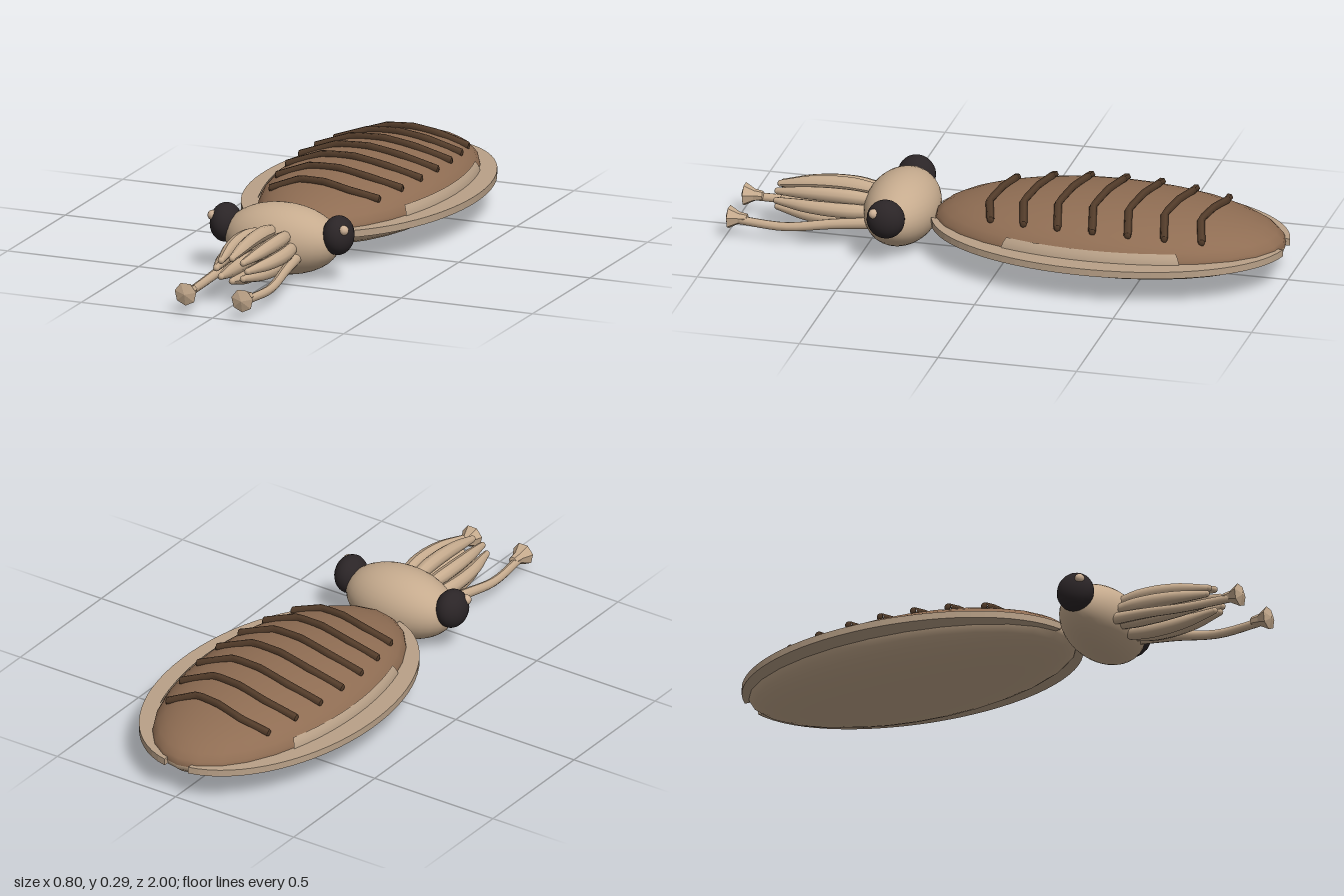
import * as THREE from 'three';

const mat = (name, color) => {
  const m = new THREE.MeshStandardMaterial({ color });
  m.name = name;
  return m;
};

// Smooth tapered limb: rings swept along a curve, pointed shut at both ends
function taperedLimb(points, radii, steps = 14, sides = 10) {
  const curve = new THREE.CatmullRomCurve3(points.map(p => new THREE.Vector3(...p)));
  const geo = new THREE.TubeGeometry(curve, steps, 1, sides, false);
  const pos = geo.attributes.position;
  const v = new THREE.Vector3();
  for (let i = 0; i <= steps; i++) {
    const c = curve.getPointAt(i / steps);
    const t = (i / steps) * (radii.length - 1);
    const k = Math.min(Math.floor(t), radii.length - 2);
    const r = THREE.MathUtils.lerp(radii[k], radii[k + 1], t - k);
    for (let j = 0; j <= sides; j++) {
      const n = i * (sides + 1) + j;
      v.fromBufferAttribute(pos, n).sub(c).multiplyScalar(r).add(c);
      pos.setXYZ(n, v.x, v.y, v.z);
    }
  }
  geo.computeVertexNormals();
  return geo;
}

export function createModel() {
  const group = new THREE.Group();
  const brown = mat('mantle brown', 0x8f6d53);
  const tan = mat('skin tan', 0xc6ab8e);
  const finTan = mat('fin tan', 0xb9a188);
  const dark = mat('stripe brown', 0x533c2a);
  const black = mat('eye black', 0x2b2527);
  const bright = mat('eye glint', 0xcdb196);
  finTan.side = THREE.DoubleSide;

  const add = (name, geo, material, pos = [0, 0, 0], scale = [1, 1, 1]) => {
    const m = new THREE.Mesh(geo, material);
    m.name = name;
    m.position.set(...pos);
    m.scale.set(...scale);
    group.add(m);
    return m;
  };

  // Mantle: brown upper shell and tan belly
  const C = [0, 0.125, -0.36], RX = 0.325, RY = 0.142, RZ = 0.63;
  add('mantle', new THREE.SphereGeometry(1, 28, 10, 0, Math.PI * 2, 0, Math.PI / 2), brown, C, [RX, RY, RZ]);
  add('belly', new THREE.SphereGeometry(1, 28, 10, 0, Math.PI * 2, Math.PI / 2, Math.PI / 2), tan, C, [RX, 0.123, RZ]);

  for (const side of [1, -1]) {
    const label = side > 0 ? 'left' : 'right';

    // Side fin: flat crescent, open at the tail
    const shape = new THREE.Shape();
    const arc = (rx, rz, a0, a1) => {
      for (let i = 0; i <= 32; i++) {
        const a = a0 + (a1 - a0) * i / 32;
        const x = side * rx * Math.sin(a), y = -rz * Math.cos(a);
        if (shape.curves.length === 0 && i === 0 && rx === 0.4) shape.moveTo(x, y);
        else shape.lineTo(x, y);
      }
    };
    arc(0.4, 0.64, 0.2, Math.PI - 0.125);
    arc(0.29, 0.6, Math.PI - 0.173, 0.25);
    const fin = new THREE.ExtrudeGeometry(shape, { depth: 0.025, bevelEnabled: false });
    fin.rotateX(-Math.PI / 2);
    add(label + 'Fin', fin, finTan, [0, 0.11, C[2]]);

    // Pale band hugging the mantle flank
    const band = new THREE.SphereGeometry(1, 10, 3, side > 0 ? Math.PI - 0.53 : -0.53, 1.06, 1.25, Math.PI / 2 - 1.25);
    add(label + 'FlankBand', band, finTan, C, [RX * 1.012, RY * 1.01, RZ * 1.012]);

    // Eye with glint
    add(label + 'Eye', new THREE.SphereGeometry(1, 20, 14), black, [side * 0.214, 0.17, 0.395], [0.055, 0.07, 0.068]);
    add(label + 'EyeGlint', new THREE.SphereGeometry(0.018, 10, 8), bright, [side * 0.25, 0.2, 0.43]);

    // Long feeding tentacle with a flared club
    add(label + 'Tentacle', taperedLimb([
      [side * 0.09, 0.1, 0.46], [side * 0.108, 0.085, 0.62], [side * 0.124, 0.065, 0.78], [side * 0.112, 0.068, 0.95],
    ], [0.022, 0.018, 0.016, 0.015]), tan);
    const club = new THREE.LatheGeometry([[0, -0.04], [0.017, -0.035], [0.022, -0.005], [0.042, 0.03], [0, 0.042]]
      .map(p => new THREE.Vector2(...p)), 7).toNonIndexed();
    club.computeVertexNormals();
    club.rotateX(Math.PI / 2);
    add(label + 'TentacleClub', club, tan, [side * 0.108, 0.074, 0.958]);
  }

  // Head
  add('head', new THREE.SphereGeometry(1, 32, 20), tan, [0, 0.135, 0.39], [0.215, 0.126, 0.13]);

  // Ring of eight arms
  for (let i = 0; i < 8; i++) {
    const a = i * Math.PI / 4;
    const ring = (k, z) => [Math.sin(a) * 0.09 * k, 0.133 + Math.cos(a) * 0.062 * k, z];
    add('arm' + (i + 1), taperedLimb([ring(0.8, 0.46), ring(1, 0.58), ring(0.95, 0.7), ring(0.66, 0.83)],
      [0.02, 0.027, 0.026, 0.022, 0.012]), tan);
    add('armTip' + (i + 1), new THREE.SphereGeometry(0.012, 10, 6), tan, ring(0.66, 0.83));
  }

  // Seven wavy ridges lying across the mantle
  const wave = [0, -0.02, 0, 0.02, -0.01];
  for (let i = 0; i < 7; i++) {
    const z0 = -0.733 + i * 0.1272;
    const half = 0.8 * RX * Math.sqrt(1 - ((z0 - C[2]) / RZ) ** 2);
    const path = new THREE.CurvePath();
    const pts = wave.map((dz, j) => {
      const x = half * (j - 2) / 2, z = z0 + dz;
      const h = Math.sqrt(1 - (x / RX) ** 2 - ((z - C[2]) / RZ) ** 2);
      return new THREE.Vector3(x, C[1] + RY * h + 0.008, z);
    });
    for (let j = 0; j < 4; j++) path.add(new THREE.LineCurve3(pts[j], pts[j + 1]));
    const ridge = new THREE.Group();
    ridge.name = 'ridge' + (i + 1);
    const bar = new THREE.Mesh(new THREE.TubeGeometry(path, 16, 0.014, 6, false), dark);
    bar.name = 'ridgeBar';
    ridge.add(bar);
    // End caps
    for (const p of [pts[0], pts[4]]) {
      const cap = new THREE.Mesh(new THREE.SphereGeometry(0.0135, 6, 5), dark);
      cap.name = 'ridgeEnd';
      cap.scale.x = 0.4;
      cap.position.copy(p);
      ridge.add(cap);
    }
    group.add(ridge);
  }

  return group;
}
